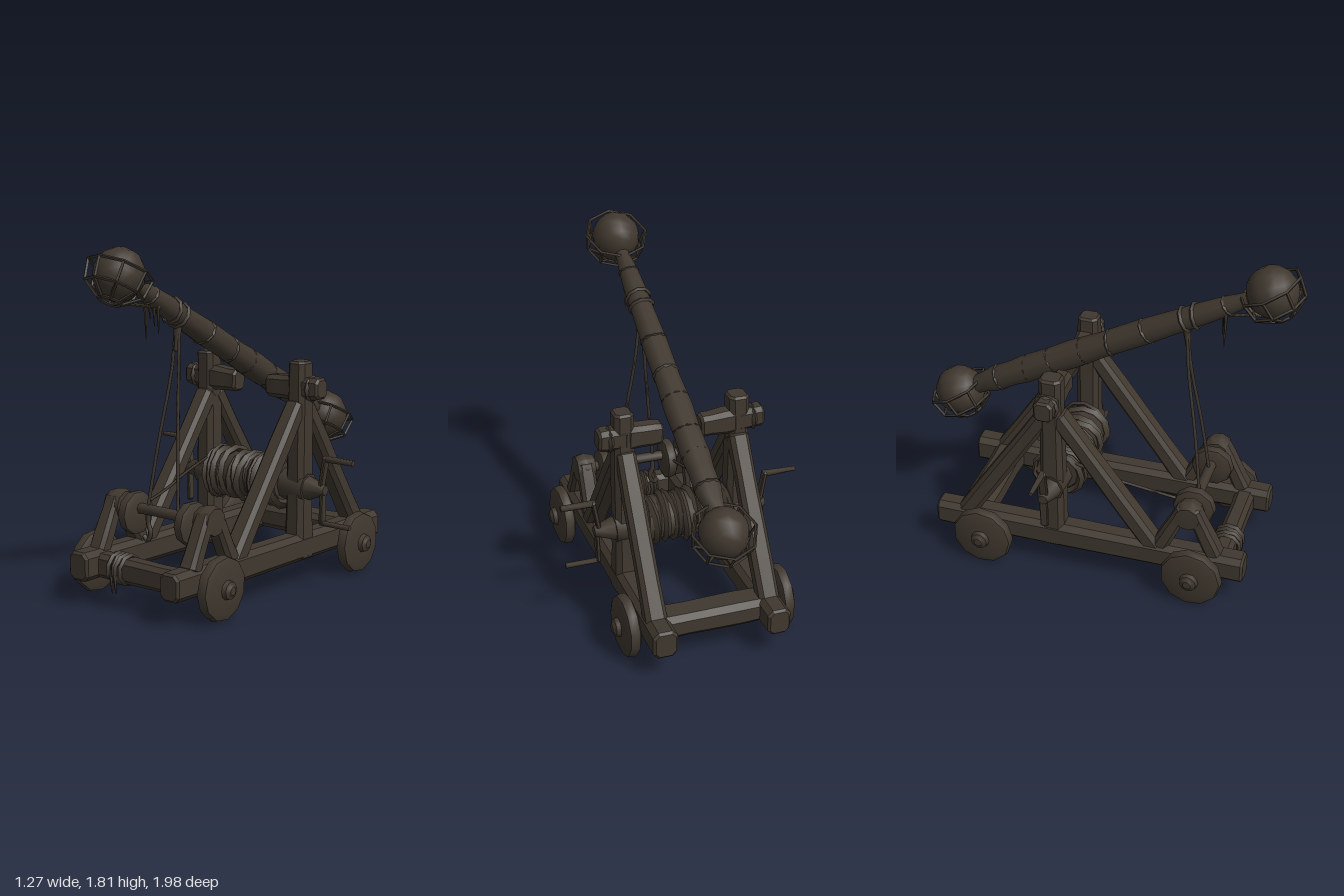
import * as THREE from 'three';
import { toCreasedNormals } from 'three/addons/utils/BufferGeometryUtils.js';

const V = (x, y, z) => new THREE.Vector3(x, y, z);
const wood = new THREE.MeshStandardMaterial({ color: 0x40382f });
wood.name = 'dark weathered wood';

function add(parent, name, geometry, crease = 0.7) {
  const mesh = new THREE.Mesh(toCreasedNormals(geometry, crease), wood);
  mesh.name = name;
  parent.add(mesh);
  return mesh;
}

// Chamfered timber from a to b; w is across, h is along the up vector, taper scales the end at b
function beam(parent, name, a, b, w, h, up, taper = 1) {
  const c = Math.min(w, h) * 0.22, x = w / 2, y = h / 2, len = a.distanceTo(b), bev = 0.012;
  const s = new THREE.Shape([[-x + c, -y], [x - c, -y], [x, -y + c], [x, y - c],
    [x - c, y], [-x + c, y], [-x, y - c], [-x, -y + c]].map(p => new THREE.Vector2(...p)));
  const g = new THREE.ExtrudeGeometry(s, { depth: len - 2 * bev, steps: 4, bevelSize: bev,
    bevelOffset: -bev, bevelThickness: bev, bevelSegments: 1 });
  g.translate(0, 0, bev);
  const p = g.attributes.position;
  for (let i = 0; i < p.count; i++) {
    const t = p.getZ(i) / len, k = 1 + (taper - 1) * t + 0.03 * Math.sin(t * 9 + a.x * 5);
    p.setXY(i, p.getX(i) * k, p.getY(i) * k);
  }
  const m = add(parent, name, g, 0.4);
  m.position.copy(a);
  m.up.copy(up);
  m.lookAt(b);
  return m;
}

// Round bar from a to b
function rod(parent, name, a, b, r0, r1 = r0, sides = 6) {
  const m = add(parent, name, new THREE.CylinderGeometry(r1, r0, a.distanceTo(b), sides), 1.1);
  m.position.copy(a).lerp(b, 0.5);
  m.quaternion.setFromUnitVectors(V(0, 1, 0), b.clone().sub(a).normalize());
  return m;
}

function rope(parent, name, points, r = 0.009) {
  return add(parent, name, new THREE.TubeGeometry(new THREE.CatmullRomCurve3(points), 14, r, 5), 1.5);
}

// Turned shape; profile holds [radius, height] pairs along y
function turned(parent, name, profile, sides) {
  return add(parent, name, new THREE.LatheGeometry(profile.map(p => new THREE.Vector2(...p)), sides), 0.8);
}

function ring(parent, name, R, r, sides) {
  return add(parent, name, new THREE.TorusGeometry(R, r, 4, sides), 1.0);
}

// Iron basket, open towards local -z, with its ball
function basket(parent, name, y) {
  const g = new THREE.Group();
  g.name = name;
  g.position.y = y;
  parent.add(g);
  const ball = add(g, 'ball', new THREE.SphereGeometry(0.13, 12, 9), 1.2);
  ball.scale.set(0.97, 1, 1.03);
  const levels = [[0.162, -0.025], [0.145, 0.075], [0.06, 0.137]];
  levels.forEach(([R, z]) => { ring(g, 'basketHoop', R, 0.0085, 8).position.z = z; });
  for (let i = 0; i < 8; i++) {
    const a = i * Math.PI / 4;
    const pts = levels.map(([R, z]) => V(R * Math.cos(a), R * Math.sin(a), z));
    for (let k = 0; k < 2; k++) rod(g, 'basketRib', pts[k], pts[k + 1], 0.0085, 0.0085, 4);
  }
}

export function createModel() {
  const root = new THREE.Group();
  root.name = 'catapult';
  const X = V(1, 0, 0), Y = V(0, 1, 0);

  for (const s of [1, -1]) {
    const side = new THREE.Group();
    side.name = s > 0 ? 'leftSide' : 'rightSide';
    root.add(side);
    const x = s * 0.3;

    // Rail, post and braces
    beam(side, 'rail', V(x, 0.205, -0.845), V(x, 0.205, 0.835), 0.145, 0.125, X);
    beam(side, 'post', V(x, 0.14, -0.195), V(s * 0.305, 1.18, -0.195), 0.13, 0.12, X, 0.86);
    beam(side, 'frontBrace', V(x, 0.23, 0.36), V(x, 0.96, -0.17), 0.1, 0.11, X, 0.9);
    beam(side, 'backBrace', V(x, 0.23, -0.69), V(x, 0.96, -0.22), 0.1, 0.11, X, 0.9);

    // Pivot peg through the post
    beam(side, 'innerPeg', V(s * 0.29, 1.04, -0.2), V(s * 0.1, 1.035, -0.2), 0.11, 0.13, Y, 0.85);
    beam(side, 'outerPeg', V(s * 0.29, 1.04, -0.2), V(s * 0.44, 1.045, -0.2), 0.11, 0.12, Y, 0.9);
    const wrap = ring(side, 'pegWrap', 0.058, 0.014, 8);
    wrap.position.set(s * 0.38, 1.04, -0.2);
    wrap.rotation.y = Math.PI / 2;

    // Wheels with hubs
    for (const z of [0.58, -0.56]) {
      const w = turned(side, 'wheel', [[0, -0.038], [0.13, -0.036], [0.16, -0.022], [0.165, 0],
        [0.157, 0.026], [0.13, 0.036], [0.05, 0.04], [0.044, 0.062], [0.028, 0.068], [0.022, 0.075], [0, 0.076]], 11);
      w.position.set(s * 0.415, 0.168, z);
      w.rotation.set(0, s * 0.03, -s * Math.PI / 2);
      rod(side, 'axle', V(s * 0.33, 0.168, z), V(s * 0.4, 0.168, z), 0.045, 0.045, 8);
    }

    // Small trestle carrying the rope pulley
    for (const dz of [0.15, -0.15])
      beam(side, 'trestleLeg', V(x, 0.25, 0.53 + dz), V(x, 0.52, 0.53 + dz * 0.15), 0.085, 0.1, X, 0.85);
    const cap = turned(side, 'trestleCap', [[0, -0.055], [0.07, -0.05], [0.082, 0], [0.065, 0.05], [0, 0.055]], 9);
    cap.position.set(s * 0.295, 0.475, 0.53);
    cap.rotation.z = Math.PI / 2;
    const pulley = turned(side, 'pulley', [[0, -0.034], [0.08, -0.034], [0.11, -0.022], [0.114, 0],
      [0.108, 0.022], [0.08, 0.034], [0, 0.034]], 10);
    pulley.position.set(s * 0.185, 0.445, 0.53);
    pulley.rotation.z = Math.PI / 2;

    // Winch axle end and crank
    rod(side, 'winchAxle', V(s * 0.2, 0.525, -0.2), V(s * 0.36, 0.52, -0.2), 0.085, 0.075, 9);
    rod(side, 'axleTip', V(s * 0.35, 0.52, -0.2), V(s * 0.465, 0.52, -0.2), 0.068, 0.026, 8);
    beam(side, 'crankUpper', V(s * 0.435, 0.51, -0.2), V(s * 0.468, 0.7, -0.2), 0.042, 0.022, X);
    beam(side, 'crankLower', V(s * 0.45, 0.53, -0.2), V(s * 0.445, 0.335, -0.2), 0.042, 0.02, X);
    rod(side, 'upperHandle', V(s * 0.455, 0.685, -0.2), V(s * 0.637, 0.685, -0.2), 0.018, s > 0 ? 0.016 : 0.012);
    if (s > 0) rod(side, 'lowerHandle', V(0.435, 0.345, -0.2), V(0.62, 0.345, -0.2), 0.014);
  }

  // Cross beams and pulley shaft
  beam(root, 'frontCrossBeam', V(-0.29, 0.2, 0.7), V(0.29, 0.195, 0.7), 0.105, 0.125, Y);
  beam(root, 'backCrossBeam', V(-0.29, 0.205, -0.65), V(0.29, 0.205, -0.65), 0.165, 0.13, Y);
  rod(root, 'pulleyShaft', V(-0.32, 0.47, 0.53), V(0.32, 0.47, 0.53), 0.028, 0.028, 7);

  // Winch drum with uneven rope turns
  const drum = new THREE.Group();
  drum.name = 'winchDrum';
  drum.position.set(-0.005, 0.535, -0.19);
  drum.rotation.z = Math.PI / 2;
  root.add(drum);
  turned(drum, 'drumCore', [[0, -0.22], [0.1, -0.22], [0.12, -0.2], [0.116, 0], [0.12, 0.2], [0.1, 0.23], [0, 0.23]], 12);
  for (let i = 0; i < 13; i++) {
    const t = ring(drum, 'ropeTurn', 0.116 + 0.01 * Math.sin(i * 2.3), 0.02, 12);
    t.position.set(0.006 * Math.sin(i * 3), -0.21 + i * 0.036, 0.01 * Math.cos(i * 1.7));
    t.rotation.set(Math.PI / 2 + 0.1 * Math.sin(i * 1.9), 0.1 * Math.cos(i * 2.7), 0);
  }
  for (const y of [-0.235, 0.235]) {
    const t = ring(drum, 'looseTurn', 0.138, 0.012, 11);
    t.position.y = y * 0.93;
    t.rotation.x = Math.PI / 2 + y * 0.7;
  }

  // Throwing arm, built along y and tilted forward
  const arm = new THREE.Group();
  arm.name = 'throwingArm';
  arm.position.set(0, 1.226, 0);
  arm.rotation.x = 1.07;
  root.add(arm);
  turned(arm, 'armPole', [[0, -0.86], [0.045, -0.86], [0.055, -0.76], [0.068, -0.7], [0.066, -0.58], [0.074, -0.5],
    [0.07, -0.35], [0.075, -0.2], [0.066, -0.02], [0.068, 0.2], [0.06, 0.42], [0.057, 0.58],
    [0.05, 0.7], [0.04, 0.78], [0.036, 0.88], [0, 0.88]], 9);
  [-0.67, -0.49, -0.33, -0.14, 0.02, 0.24, 0.46, 0.52, 0.7].forEach((y, i) => {
    const b = ring(arm, 'armBinding', y > 0.6 ? 0.046 : 0.063, 0.011, 9);
    b.position.y = y;
    b.rotation.x = Math.PI / 2 + 0.2 * Math.sin(i * 2.1);
  });
  basket(arm, 'frontBasket', 0.946);
  basket(arm, 'backBasket', -0.936);
  rope(arm, 'basketStrap', [V(0, 0.92, 0.14), V(0, 0.8, 0.09), V(0, 0.68, 0.05)], 0.008);

  // Hauling ropes from the arm to the pulley shaft, and back to the drum
  for (const s of [1, -1])
    rope(root, 'haulRope', [V(s * 0.01, 1.38, 0.415), V(s * 0.025, 1.15, 0.435), V(s * 0.065, 0.8, 0.49), V(s * 0.1, 0.48, 0.53)]);
  rod(root, 'ropeKnot', V(0, 1.27, 0.425), V(0, 1.4, 0.41), 0.012, 0.022);
  rope(root, 'drumRope', [V(-0.19, 0.48, 0.43), V(-0.21, 0.52, 0.25), V(-0.235, 0.565, 0.09), V(-0.24, 0.62, -0.1)], 0.008);

  // Frayed ends under the arm and on the front beam
  for (let i = 0; i < 4; i++) {
    const x = -0.03 + i * 0.02;
    rod(root, 'frayedEnd', V(x, 1.53, 0.615 - i * 0.008), V(x, 1.34 + 0.035 * ((i * 3) % 4), 0.61 - i * 0.008), 0.011, 0.002, 5);
  }
  for (let i = 0; i < 4; i++) {
    const t = ring(root, 'beamLashing', 0.072, 0.013, 9);
    t.position.set(-0.155 + i * 0.027, 0.2, 0.7);
    t.rotation.y = Math.PI / 2 + 0.12 * Math.sin(i * 2);
  }
  for (const x of [-0.135, -0.11])
    rod(root, 'lashingEnd', V(x, 0.18, 0.77), V(x + 0.005, 0.085, 0.765), 0.011, 0.003, 5);

  // Hook hanging below the pulley shaft
  rope(root, 'hook', [V(-0.1, 0.47, 0.53), V(-0.1, 0.4, 0.53), V(-0.085, 0.35, 0.53), V(-0.105, 0.31, 0.53), V(-0.13, 0.33, 0.53)], 0.013);

  return root;
}
